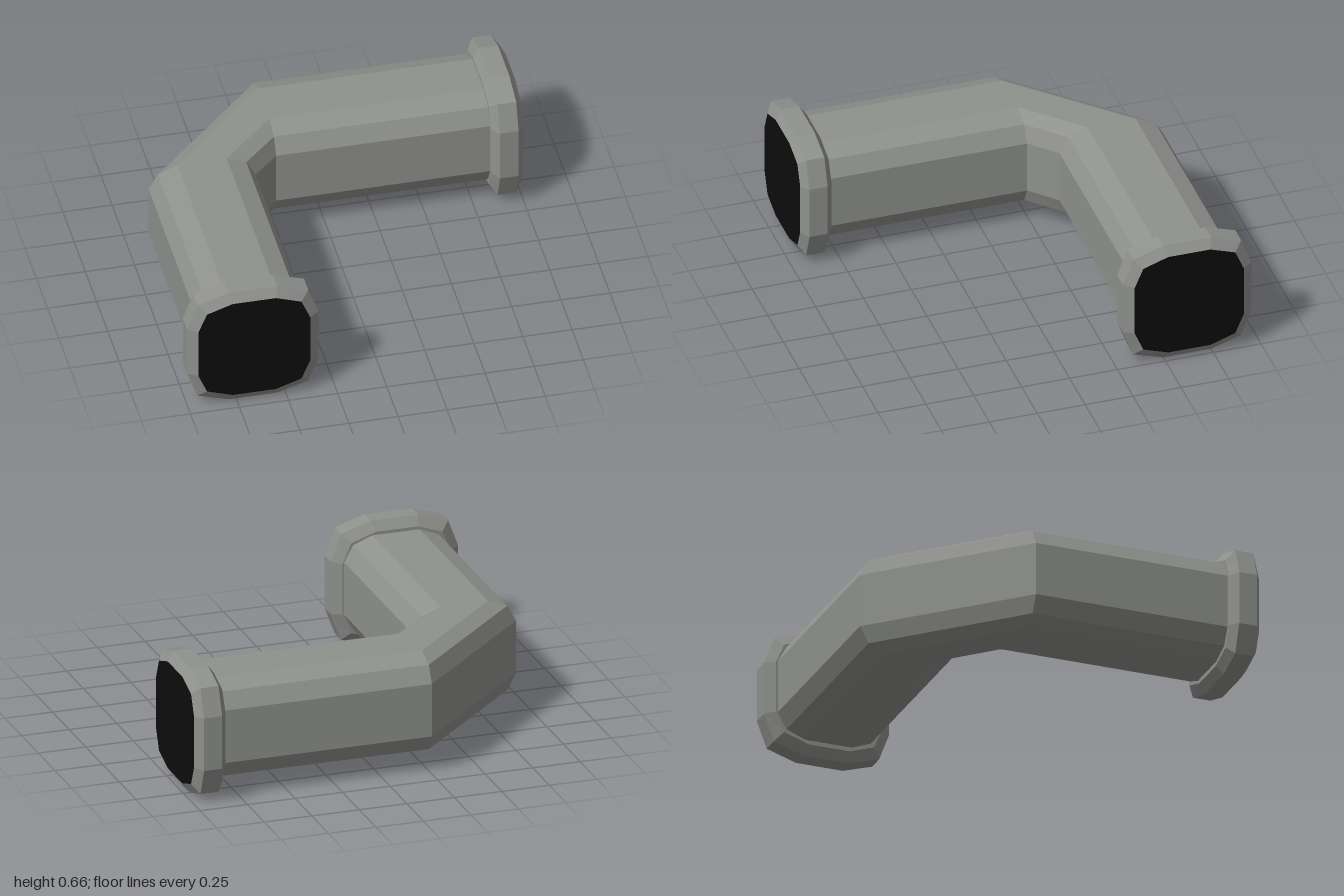
import * as THREE from 'three';

const grey = new THREE.MeshStandardMaterial({ color: 0x8f918d, flatShading: true });
grey.name = 'pipe grey';
const black = new THREE.MeshStandardMaterial({ color: 0x0c0c0c, flatShading: true });
black.name = 'opening black';

// Twelve-sided rounded square: flat half-width, corner, side extent
const PIPE = [[0.272, 0.14], [0.225, 0.225], [0.125, 0.265]];
const RIM = [[0.285, 0.135], [0.24, 0.24], [0.11, 0.284]];
const FLANGE = [[0.335, 0.14], [0.282, 0.282], [0.125, 0.332]];

// Mirrors a quarter profile into a full counter-clockwise outline
function outline(q) {
  const flipX = ([x, y]) => [-x, y];
  const half = [...q, ...[...q].reverse().map(flipX)];
  return [...half, ...half.map(([x, y]) => [-x, -y])];
}

// Places a profile in space; u is its sideways axis, y stays up
function ring(profile, centre, u) {
  return outline(profile).map(([a, b]) =>
    new THREE.Vector3(centre[0] + a * u[0], centre[1] + b, centre[2] + a * u[2]));
}

function toGeometry(triangles) {
  const geometry = new THREE.BufferGeometry().setFromPoints(triangles);
  geometry.computeVertexNormals();
  return geometry;
}

// Skin between successive rings
function skin(rings) {
  const out = [];
  for (let i = 0; i + 1 < rings.length; i++) {
    const p = rings[i], q = rings[i + 1], n = p.length;
    for (let j = 0; j < n; j++) {
      const k = (j + 1) % n;
      out.push(p[j], p[k], q[k], p[j], q[k], q[j]);
    }
  }
  return out;
}

// Flat cap over one ring
function cap(r) {
  const out = [];
  for (let j = 1; j + 1 < r.length; j++) out.push(r[0], r[j], r[j + 1]);
  return out;
}

function addMesh(parent, name, triangles, material) {
  const mesh = new THREE.Mesh(toGeometry(triangles), material);
  mesh.name = name;
  parent.add(mesh);
}

// Bevelled collar with a dark opening at its outer end
function collar(name, centreAt, u, stations) {
  const group = new THREE.Group();
  group.name = name;
  const profiles = [RIM, FLANGE, FLANGE, RIM];
  const rings = stations.map((s, i) => ring(profiles[i], centreAt(s), u));
  addMesh(group, name + 'Rim', [...skin(rings), ...cap([...rings[0]].reverse())], grey);
  addMesh(group, name + 'Opening', cap(rings[3]), black);
  return group;
}

export function createModel() {
  const model = new THREE.Group();
  model.name = 'pipeElbow';

  // Bent pipe body
  const y = 0.335;
  addMesh(model, 'pipeBody', skin([
    ring(PIPE, [-0.66, y, 0.85], [-1, 0, 0]),
    ring(PIPE, [-0.66, y, -0.23], [-1, 0, 0]),
    ring(PIPE, [-0.255, y, -0.628], [0, 0, -1]),
    ring(PIPE, [0.9, y, -0.628], [0, 0, -1]),
  ]), grey);

  // End collars
  model.add(collar('frontCollar', (s) => [-0.665, 0.332, s], [1, 0, 0],
    [0.795, 0.83, 0.925, 0.957]));
  model.add(collar('sideCollar', (s) => [s, 0.332, -0.625], [0, 0, -1],
    [0.835, 0.87, 0.965, 1]));
  return model;
}
